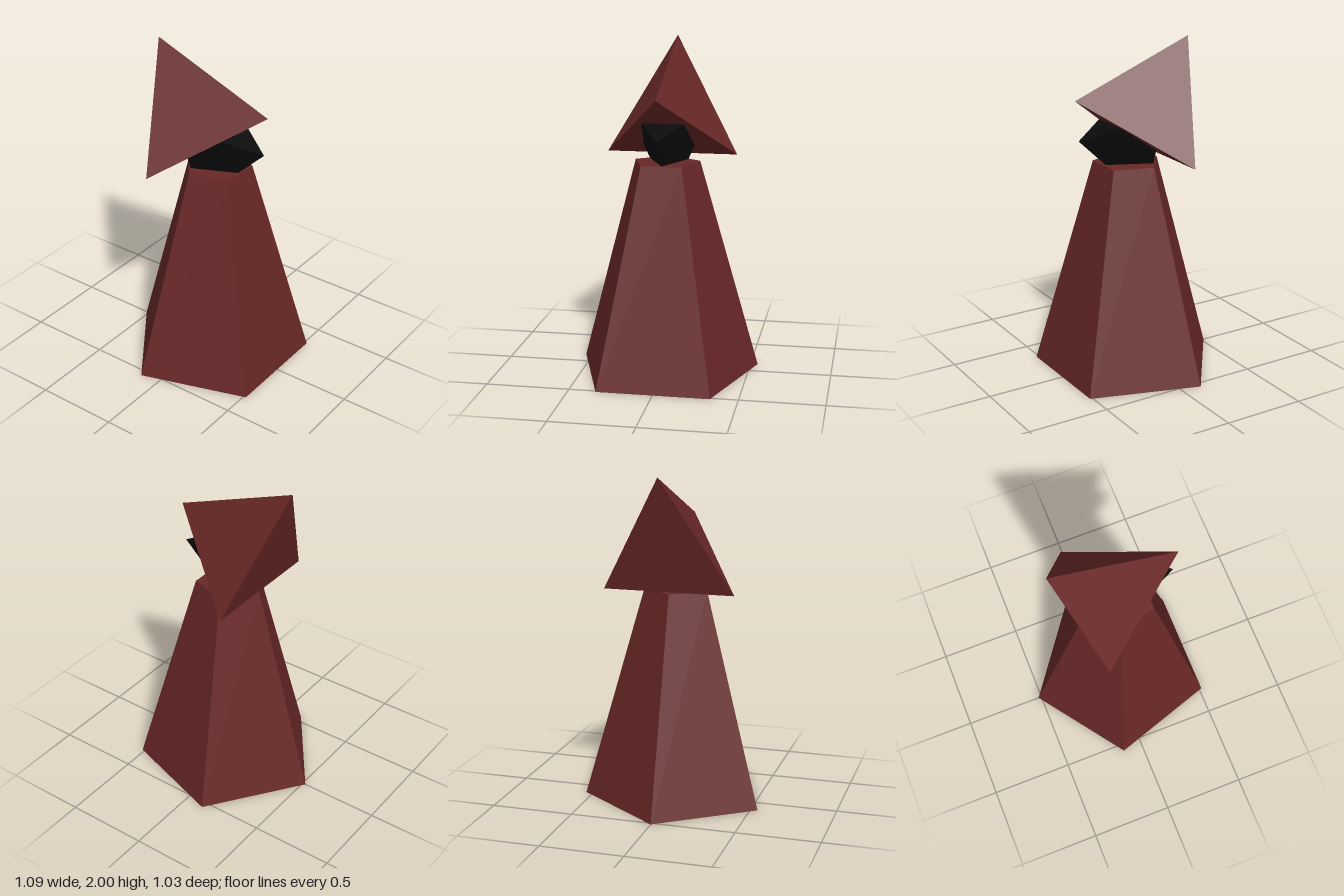
import * as THREE from 'three';
import { ConvexGeometry } from 'three/addons/geometries/ConvexGeometry.js';

// Give every face its own flat normal
function faceted(geometry) {
  const flat = geometry.toNonIndexed();
  flat.computeVertexNormals();
  return flat;
}

export function createModel() {
  const group = new THREE.Group();
  const cloth = new THREE.MeshStandardMaterial({ color: 0x682727 });
  cloth.name = 'dark red cloth';
  const shadow = new THREE.MeshStandardMaterial({ color: 0x0b0b0b });
  shadow.name = 'black face';

  function add(name, geometry, material) {
    const mesh = new THREE.Mesh(geometry, material);
    mesh.name = name;
    group.add(mesh);
    return mesh;
  }

  // Robe: tapered pentagon, flat side forward
  const robe = add('robe', faceted(new THREE.CylinderGeometry(0.205, 0.572, 1.29, 5)), cloth);
  robe.rotation.y = Math.PI;
  robe.position.set(0, 0.645, 0.053);

  // Hat: three-sided cone tipped backwards, one corner forming the brim
  const hat = add('hat', faceted(new THREE.ConeGeometry(0.458, 0.684, 3)), cloth);
  hat.rotation.x = -0.61;
  hat.position.set(0, 1.718, -0.171);

  // Head: beaked block, sunk slightly into the robe
  const points = [
    new THREE.Vector3(0, 1.46, 0.38), // beak tip
    new THREE.Vector3(0, 1.25, 0.16), // throat
  ];
  for (const side of [-1, 1]) {
    points.push(
      new THREE.Vector3(side * 0.125, 1.535, 0.17), // brow
      new THREE.Vector3(side * 0.155, 1.378, -0.05), // back of head
      new THREE.Vector3(side * 0.1, 1.25, -0.057), // nape
    );
  }
  add('head', new ConvexGeometry(points), shadow);

  return group;
}
